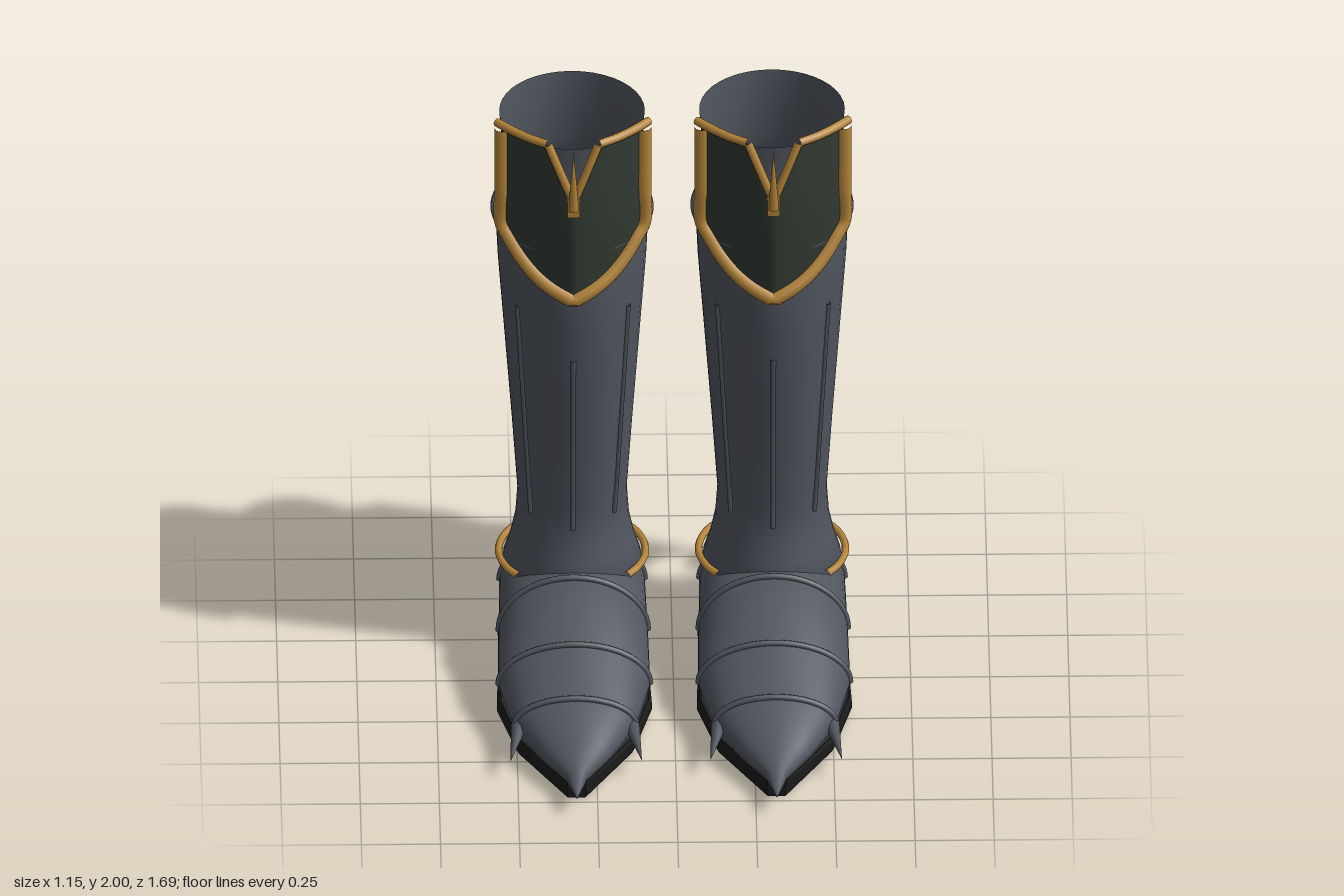
import * as THREE from 'three';

const mat = (name, color, open) => {
  const m = new THREE.MeshStandardMaterial({ color });
  m.name = name;
  if (open) m.side = THREE.DoubleSide;
  return m;
};
const V = (x, y, z) => new THREE.Vector3(x, y, z);

// Skin a list of closed rings of points, with optional end caps
function loft(rings, caps, flat) {
  const n = rings[0].length, pos = [], idx = [];
  rings.forEach(r => r.forEach(p => pos.push(p.x, p.y, p.z)));
  for (let i = 0; i < rings.length - 1; i++) {
    for (let j = 0; j < n; j++) {
      const a = i * n + j, b = i * n + (j + 1) % n;
      idx.push(a, b, a + n, b, b + n, a + n);
    }
  }
  if (caps) {
    [0, rings.length - 1].forEach((r, end) => {
      const c = rings[r].reduce((s, p) => s.add(p), V(0, 0, 0)).divideScalar(n);
      const k = pos.length / 3;
      pos.push(c.x, c.y, c.z);
      for (let j = 0; j < n; j++) {
        const a = r * n + j, b = r * n + (j + 1) % n;
        if (end) idx.push(k, a, b); else idx.push(k, b, a);
      }
    });
  }
  let g = new THREE.BufferGeometry();
  g.setAttribute('position', new THREE.Float32BufferAttribute(pos, 3));
  g.setIndex(idx);
  if (flat) g = g.toNonIndexed();
  g.computeVertexNormals();
  return g;
}

// Shaft levels: height, half width, front z, back z
const SHAFT = [
  [0.13, 0.2, -0.1, -0.515], [0.3, 0.218, -0.06, -0.51], [0.38, 0.195, -0.075, -0.482],
  [0.45, 0.18, -0.092, -0.468], [0.55, 0.173, -0.1, -0.466], [0.8, 0.19, -0.065, -0.505],
  [1.2, 0.22, -0.012, -0.585], [1.33, 0.23, 0.0, -0.61], [1.4, 0.235, 0.004, -0.619],
  [1.47, 0.238, 0.002, -0.606], [1.58, 0.24, -0.01, -0.575], [1.7, 0.212, -0.068, -0.507],
  [1.93, 0.23, -0.05, -0.53],
];
// Foot sections: z, half width, top, height of widest point, bottom
const FOOT = [
  [-0.515, 0.09, 0.27, 0.2, 0.1], [-0.48, 0.15, 0.3, 0.2, 0.06], [-0.4, 0.205, 0.33, 0.2, 0.06],
  [-0.29, 0.23, 0.35, 0.2, 0.06], [-0.035, 0.236, 0.355, 0.165, 0.06], [0.22, 0.24, 0.262, 0.12, 0.06],
  [0.44, 0.193, 0.195, 0.1, 0.06], [0.6, 0.105, 0.142, 0.08, 0.06], [0.72, 0.033, 0.104, 0.075, 0.062],
  [0.845, 0.002, 0.078, 0.076, 0.074],
];
// Sole sections: z, half width, top
const SOLE = [
  [-0.56, 0.1, 0.133], [-0.53, 0.15, 0.137], [-0.445, 0.212, 0.143], [-0.42, 0.217, 0.106], [-0.28, 0.235, 0.065],
  [0, 0.238, 0.063], [0.22, 0.245, 0.063], [0.45, 0.19, 0.063], [0.72, 0.03, 0.063],
];

const lerpRow = (table, key) => {
  let i = 0;
  while (i < table.length - 2 && table[i + 1][0] < key) i++;
  const a = table[i], b = table[i + 1], t = (key - a[0]) / (b[0] - a[0]);
  return a.map((v, k) => v + (b[k] - v) * t);
};
const arch = ([z, w, top, mid], n) => Array.from({ length: n + 1 }, (_, i) => {
  const t = Math.PI * i / n;
  return V(w * Math.cos(t), mid + (top - mid) * Math.sin(t), z);
});
const shaftRing = ([y, w, f, b]) => Array.from({ length: 40 }, (_, i) => {
  const t = Math.PI * i / 20;
  return V(w * Math.cos(t), y, (f + b) / 2 - (f - b) / 2 * Math.sin(t));
});
// Front surface of the shaft at a sideways offset
const onShaft = (x, y) => {
  const [, w, f, b] = lerpRow(SHAFT, y);
  return V(x, y, (f + b) / 2 + (f - b) / 2 * Math.sqrt(Math.max(0, 1 - (x / w) ** 2)));
};

// Knee guard surface and its lower and upper outlines
const guard = (u, y) => V(u, y,
  0.042 - 0.2 * Math.abs(u) - 2.1 * u * u - 0.1 * Math.max(0, 1.7 - y));
const guardLow = u => 1.41 + 0.45 * Math.abs(u) + 10 * Math.abs(u) ** 3;
const guardTop = u => 1.79 + 0.196 * Math.min(1, Math.abs(u) / 0.08);
const GW = 0.224;

export function createModel() {
  const steel = mat('dark steel', 0x50555e, true);
  const gold = mat('gold trim', 0xb5853a);
  const green = mat('dark green', 0x323b33, true);
  const black = mat('black sole', 0x1a1a1b);
  const pale = mat('pale blade', 0x777b82, true);

  function boot(side) {
    const g = new THREE.Group();
    const add = (name, geo, m) => {
      const mesh = new THREE.Mesh(geo, m);
      mesh.name = name;
      g.add(mesh);
      return mesh;
    };
    const tube = (name, pts, r, m, closed = false) => add(name, new THREE.TubeGeometry(
      new THREE.CatmullRomCurve3(pts, closed), pts.length * 3, r, 8, closed), m);
    const spike = (name, a, b, r, m) => {
      const d = b.clone().sub(a);
      const s = add(name, new THREE.ConeGeometry(r, d.length(), 10), m);
      s.position.copy(a).add(b).multiplyScalar(0.5);
      s.quaternion.setFromUnitVectors(V(0, 1, 0), d.normalize());
    };

    // Shaft, collar ring and raised ribs
    add('shaft', loft(SHAFT.map(shaftRing)), steel);
    tube('collarRing', shaftRing([1.575, 0.245, -0.003, -0.582]), 0.013, steel, true);
    [[-0.175, -0.132, 1.32, 0.525], [0, 0, 1.17, 0.5], [0.175, 0.132, 1.32, 0.525]].forEach(([x0, x1, y0, y1]) => {
      const pts = Array.from({ length: 9 }, (_, i) =>
        onShaft(x0 + (x1 - x0) * i / 8, y0 + (y1 - y0) * i / 8));
      tube('shaftRib', pts, 0.008, steel);
    });

    // Pointed foot with bands over the instep
    add('foot', loft(FOOT.map(s => [...arch(s, 20),
      V(-s[1] * 0.95, s[4], s[0]), V(s[1] * 0.95, s[4], s[0])]), true), steel);
    [-0.29, -0.035, 0.22, 0.44].forEach(z => {
      const s = lerpRow(FOOT, z);
      s[2] += 0.004;
      tube('footBand', arch(s, 16), 0.01, steel);
    });
    [-1, 1].forEach(k => spike('toeClaw', V(k * 0.175, 0.1, 0.42), V(k * 0.208, 0.085, 0.635), 0.028, steel));

    // Sole with a raised heel cup
    add('sole', loft(SOLE.map(([z, w, t]) => [V(w, 0.025, z), V(w, t - 0.015, z), V(w * 0.96, t, z),
      V(-w * 0.96, t, z), V(-w, t - 0.015, z), V(-w, 0.025, z), V(-w * 0.94, 0.003, z), V(w * 0.94, 0.003, z)]),
    true, true), black);

    // Gold ring around the heel, open at the front
    tube('ankleRing', Array.from({ length: 21 }, (_, i) => {
      const t = -0.74 + (Math.PI + 1.48) * i / 20;
      return V(0.232 * Math.cos(t), 0.31, -0.288 - 0.236 * Math.sin(t));
    }), 0.012, gold);

    // Knee guard plate
    const plate = new THREE.PlaneGeometry(1, 1, 40, 8);
    const p = plate.attributes.position;
    for (let i = 0; i < p.count; i++) {
      const u = p.getX(i) * 2 * GW, t = p.getY(i) + 0.5;
      const q = guard(u, guardLow(u) + (guardTop(u) - guardLow(u)) * t);
      p.setXYZ(i, q.x, q.y, q.z);
    }
    plate.computeVertexNormals();
    add('kneeGuard', plate, green);

    // Gold border of the knee guard
    const low = Array.from({ length: 21 }, (_, i) => {
      const u = GW * (i / 10 - 1);
      return guard(u, guardLow(u));
    });
    const ends = k => [1.75, 1.85, 1.975].map(y => guard(k * GW, y));
    tube('guardBorder', [...ends(-1).reverse(), ...low, ...ends(1)], 0.024, gold);
    [-1, 1].forEach(k => {
      tube('guardTopEdge', [0.24, 0.2, 0.14, 0.08].map(u => guard(k * u, 1.986)), 0.014, gold);
      tube('guardNotchEdge', [0.08, 0.05, 0.025, 0].map(u => guard(k * u, guardTop(u))), 0.014, gold);
    });
    const clasp = add('notchClasp', new THREE.BoxGeometry(0.04, 0.06, 0.03), gold);
    clasp.position.set(0, 1.775, 0.048);
    spike('notchNeedle', V(0, 1.77, 0.055), V(0, 2, 0.08), 0.018, gold);

    // Rear fin and heel blade, both swept outward
    const swept = (name, shape, depth, z, m) => {
      const geo = new THREE.ExtrudeGeometry(shape, { depth, bevelEnabled: false, curveSegments: 10 });
      geo.translate(0, 0, -depth / 2);
      const mesh = add(name, geo, m);
      mesh.scale.x = 1.054;
      mesh.rotation.y = Math.PI / 2 - side * Math.atan(1 / 3);
      mesh.position.z = z;
    };
    const fin = new THREE.Shape();
    fin.moveTo(0.29, 1.3);
    fin.quadraticCurveTo(0.385, 0.85, 0.357, 0.415);
    fin.quadraticCurveTo(0.32, 0.63, 0.16, 0.62);
    fin.lineTo(0.21, 1);
    swept('rearFin', fin, 0.018, -0.285, green);
    const blade = new THREE.Shape();
    blade.moveTo(0, 0.24);
    blade.lineTo(0.262, 0.252);
    blade.quadraticCurveTo(0.15, 0.345, 0, 0.355);
    swept('heelBlade', blade, 0.006, -0.58, pale);

    g.name = side > 0 ? 'leftBoot' : 'rightBoot';
    g.position.x = side * 0.316;
    return g;
  }

  const model = new THREE.Group();
  model.name = 'armouredBoots';
  model.add(boot(1), boot(-1));
  return model;
}
